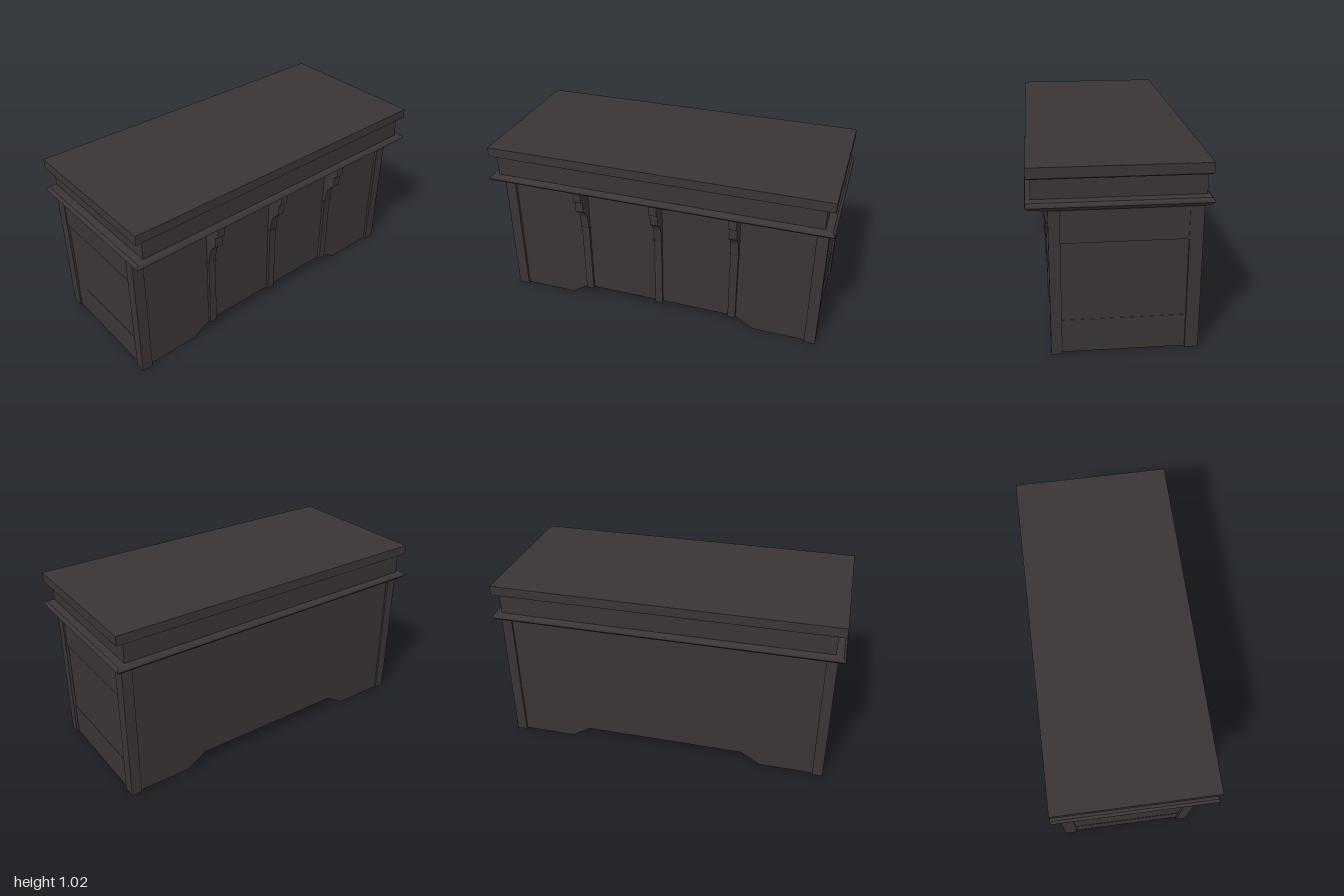
import * as THREE from 'three';

const darkWood = new THREE.MeshStandardMaterial({ color: 0x3b3434 });

export function createModel() {
  const desk = new THREE.Group();
  desk.name = 'counter';

  const add = (name, geometry) => {
    const mesh = new THREE.Mesh(geometry, darkWood);
    mesh.name = name;
    desk.add(mesh);
    return mesh;
  };

  // box given by its limits on each axis
  const box = (name, x0, x1, y0, y1, z0, z1) => {
    const mesh = add(name, new THREE.BoxGeometry(x1 - x0, y1 - y0, z1 - z0));
    mesh.position.set((x0 + x1) / 2, (y0 + y1) / 2, (z0 + z1) / 2);
    return mesh;
  };

  // stacked rectangles [y, halfWidth, back, front], closed at both ends
  const stack = (name, levels) => {
    const pos = [];
    const ring = ([y, h, b, f]) => [[-h, y, f], [h, y, f], [h, y, b], [-h, y, b]];
    const quad = (a, b, c, d) => pos.push(...a, ...b, ...c, ...a, ...c, ...d);
    for (let i = 0; i < levels.length - 1; i++) {
      const lo = ring(levels[i]), hi = ring(levels[i + 1]);
      for (let k = 0; k < 4; k++) {
        const n = (k + 1) % 4;
        quad(lo[k], lo[n], hi[n], hi[k]);
      }
    }
    quad(...ring(levels[levels.length - 1]));
    quad(...ring(levels[0]).reverse());
    const g = new THREE.BufferGeometry();
    g.setAttribute('position', new THREE.Float32BufferAttribute(pos, 3));
    g.computeVertexNormals();
    return add(name, g);
  };

  const extrude = (points, depth) => new THREE.ExtrudeGeometry(
    new THREE.Shape(points.map(([x, y]) => new THREE.Vector2(x, y))),
    { depth, bevelEnabled: false });

  // body with a raised opening along the floor
  const body = extrude([
    [-0.945, 0.003], [-0.59, 0.003], [-0.475, 0.075], [0.475, 0.075],
    [0.59, 0.003], [0.945, 0.003], [0.945, 0.8], [-0.945, 0.8],
  ], 0.742);
  body.translate(0, 0, -0.407);
  add('body', body);

  // corner posts and framed side panels
  for (const s of [-1, 1]) {
    const side = s > 0 ? 'left' : 'right';
    const sideBox = (name, x0, x1, ...rest) =>
      box(side + name, Math.min(s * x0, s * x1), Math.max(s * x0, s * x1), ...rest);
    sideBox('FrontPost', 0.9, 0.965, 0, 0.81, 0.292, 0.35);
    sideBox('BackPost', 0.9, 0.96, 0, 0.81, -0.418, -0.348);
    sideBox('UpperRail', 0.93, 0.956, 0.62, 0.8, -0.348, 0.292);
    sideBox('LowerRail', 0.93, 0.95, 0.003, 0.19, -0.348, 0.292);
    sideBox('SidePanel', 0.93, 0.948, 0.19, 0.62, -0.348, 0.292);
  }

  // front pilasters, each carrying a scrolled bracket
  const bracketProfile = [
    [0.32, 0.52], [0.355, 0.52], [0.355, 0.54], [0.365, 0.615], [0.385, 0.65],
    [0.415, 0.675], [0.415, 0.74], [0.435, 0.75], [0.435, 0.83], [0.32, 0.83],
  ];
  for (const x of [-0.458, 0, 0.458]) {
    box('pilaster', x - 0.023, x + 0.023, 0.072, 0.53, 0.32, 0.352);
    box('bracketFoot', x - 0.027, x + 0.027, 0.522, 0.532, 0.32, 0.356);
    const bracket = extrude(bracketProfile, 0.046);
    bracket.rotateY(-Math.PI / 2);
    bracket.translate(x + 0.023, 0, 0);
    // the turn sends the profile's first axis to +z
    add('bracket', bracket);
  }

  // rounded moulding around the body
  stack('moulding', [
    [0.79, 0.945, -0.407, 0.335],
    [0.798, 0.965, -0.42, 0.37],
    [0.812, 0.985, -0.447, 0.445],
    [0.826, 1.0, -0.46, 0.46],
    [0.836, 0.997, -0.457, 0.457],
    [0.847, 0.985, -0.447, 0.447],
    [0.852, 0.945, -0.432, 0.432],
  ]);

  // frieze and top slab
  box('frieze', -0.945, 0.945, 0.845, 0.967, -0.432, 0.432);
  stack('topSlab', [
    [0.962, 0.975, -0.436, 0.436],
    [0.97, 0.988, -0.45, 0.45],
    [1.025, 0.988, -0.45, 0.45],
  ]);

  return desk;
}
